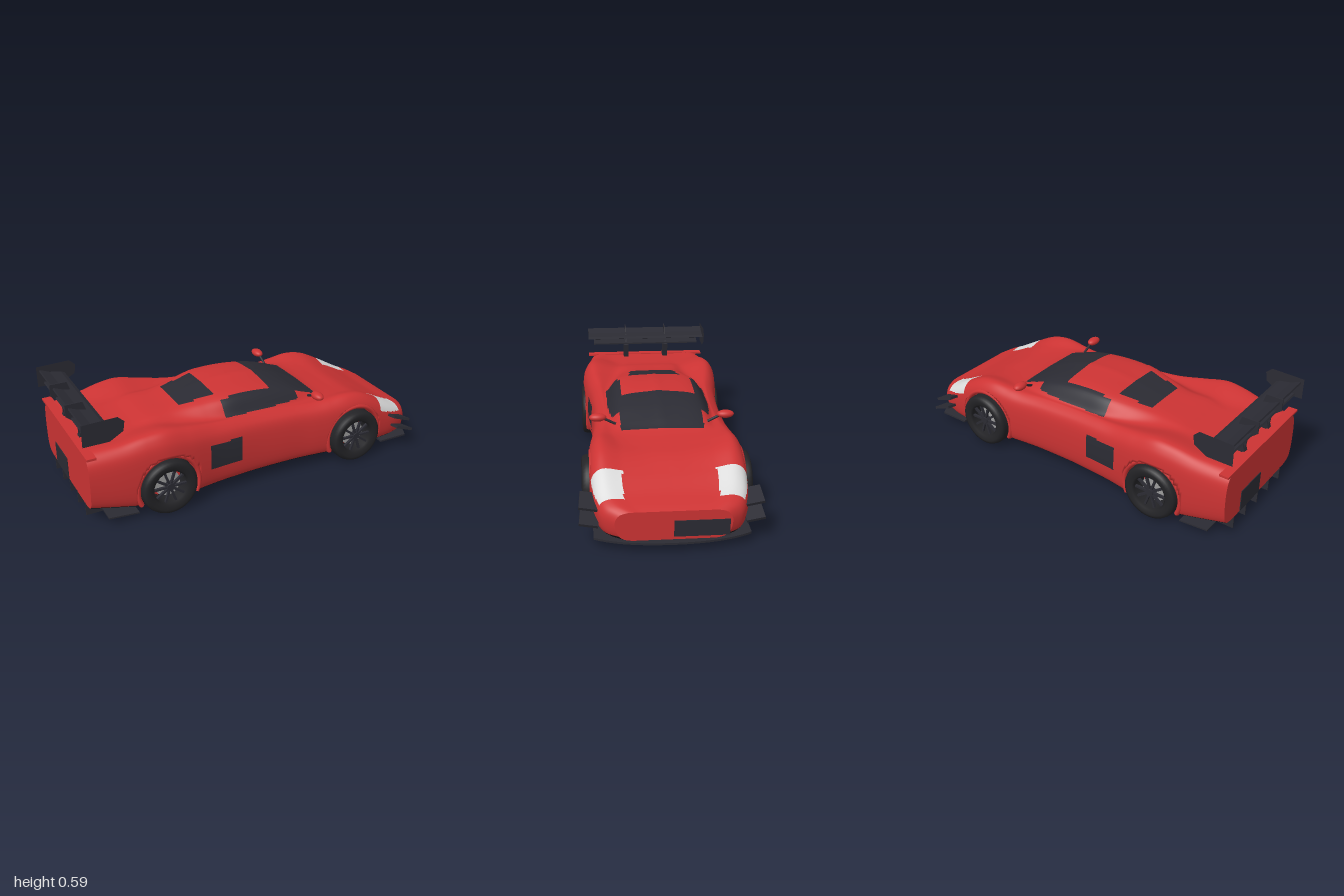
import * as THREE from 'three';

const mat = (name, color, side = THREE.FrontSide) => {
  const m = new THREE.MeshStandardMaterial({ color, side });
  m.name = name;
  return m;
};

export function createModel() {
  const car = new THREE.Group();
  car.name = 'raceCar';
  const red = mat('redPaint', 0xcc3333);
  const trim = mat('darkTrim', 0x2b2b33, THREE.DoubleSide);
  const floor = mat('blackFloor', 0x161618);
  const rubber = mat('tyreRubber', 0x232326);
  const lamp = mat('lampWhite', 0xdcdcdc);
  const steel = mat('discSteel', 0x9c9c9c);

  const add = (name, geo, material, x = 0, y = 0, z = 0, parent = car) => {
    const m = new THREE.Mesh(geo, material);
    m.name = name;
    m.position.set(x, y, z);
    parent.add(m);
    return m;
  };
  const outline = pts => new THREE.Shape(pts.map(p => new THREE.Vector2(...p)));
  // side-view outline given a thickness across the car
  const plate = (pts, depth) =>
    new THREE.ExtrudeGeometry(outline(pts), { depth, bevelEnabled: false }).translate(0, 0, -depth / 2);

  // ---- Body loft: x, half width, fender crest y, cabin base z, y, roof edge z, y, centre y
  const stations = [
    [-0.98, 0.365, 0.395, 0.22, 0.395, 0.12, 0.395, 0.395],
    [-0.80, 0.390, 0.412, 0.22, 0.400, 0.12, 0.400, 0.400],
    [-0.68, 0.402, 0.435, 0.19, 0.406, 0.12, 0.407, 0.407],
    [-0.58, 0.408, 0.443, 0.20, 0.415, 0.14, 0.425, 0.427],
    [-0.45, 0.397, 0.420, 0.22, 0.402, 0.14, 0.433, 0.438],
    [-0.30, 0.375, 0.396, 0.255, 0.393, 0.18, 0.450, 0.468],
    [-0.18, 0.365, 0.388, 0.275, 0.390, 0.21, 0.463, 0.487],
    [-0.05, 0.358, 0.382, 0.28, 0.386, 0.215, 0.465, 0.497],
    [0.10, 0.358, 0.375, 0.28, 0.382, 0.215, 0.452, 0.486],
    [0.22, 0.362, 0.370, 0.275, 0.376, 0.215, 0.428, 0.452],
    [0.32, 0.372, 0.367, 0.265, 0.370, 0.215, 0.393, 0.410],
    [0.40, 0.380, 0.371, 0.26, 0.366, 0.20, 0.367, 0.371],
    [0.52, 0.386, 0.380, 0.23, 0.355, 0.14, 0.347, 0.346],
    [0.62, 0.384, 0.362, 0.22, 0.341, 0.12, 0.331, 0.330],
    [0.74, 0.378, 0.303, 0.22, 0.291, 0.12, 0.285, 0.283],
    [0.86, 0.358, 0.237, 0.21, 0.232, 0.12, 0.230, 0.229],
    [0.93, 0.322, 0.208, 0.18, 0.206, 0.10, 0.206, 0.206],
    [0.965, 0.272, 0.192, 0.15, 0.192, 0.08, 0.192, 0.192],
  ];
  const loft = new THREE.CubicInterpolant(
    stations.map(s => s[0]), stations.flatMap(s => s.slice(1)), 7, new Float32Array(7));
  const axles = [-0.58, 0.545], wheelY = 0.15;
  const bottomY = x => 0.055 + Math.max(0, -0.72 - x) * 0.17;
  const HALF = 80, RING = 2 * HALF, ROWS = 195;

  function ring(x) {
    const [w, fy, cz, cy, uz, uy, top] = loft.evaluate(x);
    const b = bottomY(x), h = fy - b;
    const half = new THREE.CatmullRomCurve3([
      [0, b], [w - 0.05, b], [w - 0.014, b + 0.025], [w, b + 0.65 * h], [w - 0.018, b + 0.89 * h],
      [w - 0.06, fy], [cz, cy], [uz, uy], [0, top],
    ].map(([z, y]) => new THREE.Vector3(x, y, z))).getPoints(HALF);
    // recess the wheel wells
    for (const p of half)
      if (axles.some(a => Math.hypot(p.x - a, p.y - wheelY) < 0.167)) p.z = Math.min(p.z, 0.32);
    const other = half.slice(1, HALF).reverse().map(p => new THREE.Vector3(p.x, p.y, -p.z));
    return [...half, ...other];
  }

  // choose the colour slot for a point on the skin: 0 paint, 1 trim, 2 floor, 3 lamp
  function region({ x, y, z }) {
    const s = Math.abs(z);
    if (y < bottomY(x) + 0.018) return 2;
    if (x > 0.1 && x < 0.39 && s < 0.215 && y > 0.36) return 1;
    if (x > -0.2 && x < 0.25 && s > 0.205 && s < 0.28 && y > 0.389) return 1;
    if (x > -0.4 && x < -0.21 && s < 0.137 + (x + 0.3) * 0.08) return 1;
    if (x > -0.345 && x < -0.15 && y > 0.175 && y < 0.305 && s > 0.3) return 1;
    if (x > 0.73 && x < 0.89 && s > 0.225 && y > 0.243 - (x - 0.735) * 0.3) return 3;
    return 0;
  }

  const rows = [];
  for (let i = 0; i <= ROWS; i++) rows.push(ring(-0.98 + 1.945 * i / ROWS));
  const points = [...rows, rows[0], rows[ROWS]].flat();
  const slots = [[], [], [], []];
  for (let i = 0; i < ROWS; i++) {
    for (let j = 0; j < RING; j++) {
      const k = (j + 1) % RING;
      const a = i * RING + j, b = a + RING, c = i * RING + k, d = c + RING;
      const mid = points[a].clone().add(points[d]).multiplyScalar(0.5);
      slots[region(mid)].push(a, b, d, a, d, c);
    }
  }
  // flat tail and nose faces
  const tail = (ROWS + 1) * RING, nose = tail + RING;
  for (let j = 0; j < HALF; j++) {
    const q = [j, j + 1, RING - j - 1, (RING - j) % RING];
    const [a, b, c, d] = q;
    slots[0].push(tail + a, tail + b, tail + c, tail + a, tail + c, tail + d);
    slots[0].push(nose + a, nose + c, nose + b, nose + a, nose + d, nose + c);
  }
  const skin = new THREE.BufferGeometry().setFromPoints(points);
  skin.setIndex(slots.flat());
  let start = 0;
  slots.forEach((s, i) => { skin.addGroup(start, s.length, i); start += s.length; });
  skin.computeVertexNormals();
  add('body', skin, [red, trim, floor, lamp]);

  // nose and tail panels
  add('noseGrille', new THREE.BoxGeometry(0.008, 0.08, 0.26), trim, 0.965, 0.105, -0.13);
  add('tailPanel', new THREE.BoxGeometry(0.008, 0.12, 0.2), trim, -0.98, 0.155, -0.1);
  add('tailLip', new THREE.BoxGeometry(0.05, 0.012, 0.74), red, -0.962, 0.395, 0);

  // ---- Wheels and arches
  const tyre = new THREE.LatheGeometry([
    [0.09, -0.06], [0.125, -0.07], [0.143, -0.064], [0.15, -0.045], [0.15, 0.045],
    [0.143, 0.064], [0.125, 0.07], [0.1, 0.064], [0.09, 0.056], [0.088, -0.05], [0.09, -0.06],
  ].map(p => new THREE.Vector2(...p)), 48).rotateX(Math.PI / 2);
  const disc = new THREE.CylinderGeometry(0.07, 0.07, 0.02, 32).rotateX(Math.PI / 2);
  const hub = new THREE.CylinderGeometry(0.02, 0.024, 0.03, 20).rotateX(Math.PI / 2);
  const spoke = new THREE.BoxGeometry(0.08, 0.011, 0.014).translate(0.05, 0, 0);
  const lip = new THREE.TorusGeometry(0.167, 0.014, 10, 48, Math.PI + 0.9).rotateZ(-0.45).scale(1, 1, 1.5);
  for (const x of axles) {
    for (const side of [1, -1]) {
      const wheel = new THREE.Group();
      wheel.name = 'wheel';
      wheel.position.set(x, wheelY, side * 0.35);
      if (side < 0) wheel.rotation.y = Math.PI;
      add('tyre', tyre, rubber, 0, 0, 0, wheel);
      add('brakeDisc', disc, steel, 0, 0, 0, wheel);
      add('hub', hub, trim, 0, 0, 0.042, wheel);
      for (let i = 0; i < 10; i++)
        add('spoke', spoke, trim, 0, 0, 0.045, wheel).rotation.z = i * Math.PI / 5;
      car.add(wheel);
      add('wheelArch', lip, red, x, wheelY, side * (x < 0 ? 0.378 : 0.362));
    }
  }

  // ---- Front splitter and canards
  const lipShape = new THREE.Shape();
  lipShape.moveTo(0.75, -0.37).lineTo(0.92, -0.37);
  lipShape.quadraticCurveTo(1, -0.24, 1, 0).quadraticCurveTo(1, 0.24, 0.92, 0.37);
  lipShape.lineTo(0.75, 0.37);
  add('splitter', new THREE.ExtrudeGeometry(lipShape, { depth: 0.01, bevelEnabled: false, curveSegments: 20 })
    .rotateX(Math.PI / 2), trim, 0, 0.05, 0);
  for (const side of [1, -1]) {
    for (const [x, y] of [[0.835, 0.195], [0.862, 0.125]]) {
      const c = add('canard', new THREE.BoxGeometry(0.11, 0.014, 0.09), trim, x, y, side * 0.388);
      c.rotation.set(-side * 0.18, 0, -0.34);
    }
    // mirrors
    add('mirror', new THREE.SphereGeometry(1, 24, 16).scale(0.028, 0.021, 0.045), red, 0.32, 0.42, side * 0.332);
    const stalk = add('mirrorStalk', new THREE.CylinderGeometry(0.007, 0.007, 0.08, 10), trim, 0.32, 0.4, side * 0.275);
    stalk.rotation.x = side * 1.1;
    // wing end plates, pylons and mounts
    add('wingEndPlate', new THREE.ShapeGeometry(outline([
      [-1, 0.47], [-0.865, 0.47], [-0.795, 0.51], [-0.787, 0.56], [-0.82, 0.59], [-1, 0.585],
    ])), trim, 0, 0, side * 0.37);
    add('wingPylon', plate([
      [-0.94, 0.39], [-0.88, 0.39], [-0.87, 0.46], [-0.91, 0.584], [-1, 0.584], [-1, 0.52], [-0.95, 0.48],
    ], 0.006), trim, 0, 0, side * 0.127);
    add('wingMount', plate([[-0.95, 0.39], [-0.88, 0.39], [-0.865, 0.48], [-0.92, 0.48]], 0.03),
      trim, 0, 0, side * 0.127);
  }

  // ---- Rear wing planes
  add('wingMainPlane', plate([
    [-0.985, 0.557], [-0.93, 0.53], [-0.87, 0.52], [-0.85, 0.526], [-0.87, 0.535], [-0.93, 0.545], [-0.982, 0.566],
  ], 0.74), trim);
  add('wingLowerPlane', plate([
    [-0.975, 0.504], [-0.9, 0.482], [-0.87, 0.484], [-0.87, 0.492], [-0.97, 0.512],
  ], 0.67), trim);

  // ---- Diffuser
  add('diffuserPlate', plate([[-0.74, 0.024], [-0.74, 0.032], [-0.9, 0.046], [-0.9, 0.038]], 0.74), trim);
  for (let i = -2; i <= 2; i++)
    add('diffuserFin', plate([[-0.98, 0.02], [-0.74, 0.02], [-0.74, 0.06], [-0.98, 0.105]]
      .filter((p, k) => k !== 2), 0.006), trim, 0, 0, i * 0.126);

  return car;
}
